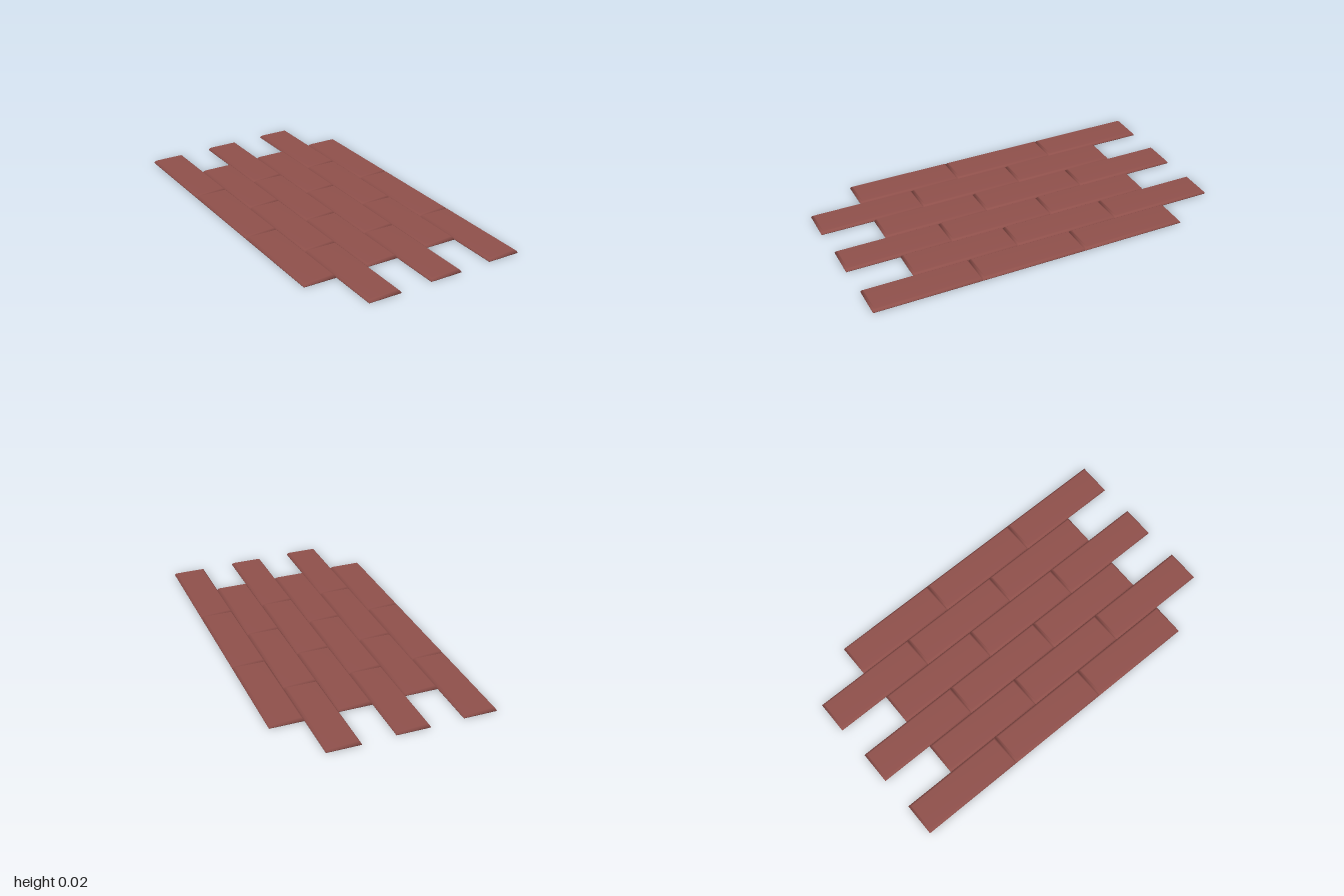
import * as THREE from 'three';

const WIDTH = 0.1775, LENGTH = 0.566;

// One plank: stacked rectangular rings, stepping inward to a softened top edge
function plankGeometry() {
  const rings = [[0.001, 0], [0, 0.004], [0.006, 0.013], [0.013, 0.018]]; // [inset, height]
  const corners = [[-1, 1], [1, 1], [1, -1], [-1, -1]];
  const positions = [], index = [];
  for (const [inset, y] of rings) {
    for (const [sx, sz] of corners) {
      positions.push(sx * (WIDTH / 2 - inset), y, sz * (LENGTH / 2 - inset));
    }
  }
  for (let r = 0; r < rings.length - 1; r++) {
    for (let k = 0; k < 4; k++) {
      const a = r * 4 + k, b = r * 4 + (k + 1) % 4;
      index.push(a, b, b + 4, a, b + 4, a + 4);
    }
  }
  const t = (rings.length - 1) * 4;
  index.push(t, t + 1, t + 2, t, t + 2, t + 3); // top
  index.push(0, 2, 1, 0, 3, 2); // underside
  const geometry = new THREE.BufferGeometry();
  geometry.setAttribute('position', new THREE.Float32BufferAttribute(positions, 3));
  geometry.setIndex(index);
  geometry.computeVertexNormals();
  return geometry;
}

export function createModel() {
  const group = new THREE.Group();
  group.name = 'plankFloor';
  const wood = new THREE.MeshStandardMaterial({ color: 0x8f504b });
  wood.name = 'reddish brown wood';
  const geometry = plankGeometry();

  // Six staggered rows of three planks, each given by its back end
  const backEnds = [-0.98, -0.704, -0.99, -0.715, -1.0, -0.726];
  backEnds.forEach((back, row) => {
    const plankRow = new THREE.Group();
    plankRow.name = `plankRow${row + 1}`;
    for (let i = 0; i < 3; i++) {
      const plank = new THREE.Mesh(geometry, wood);
      plank.name = `plank${i + 1}`;
      plank.position.set((row - 2.5) * WIDTH, 0, back + (i + 0.5) * LENGTH);
      plankRow.add(plank);
    }
    group.add(plankRow);
  });
  return group;
}
